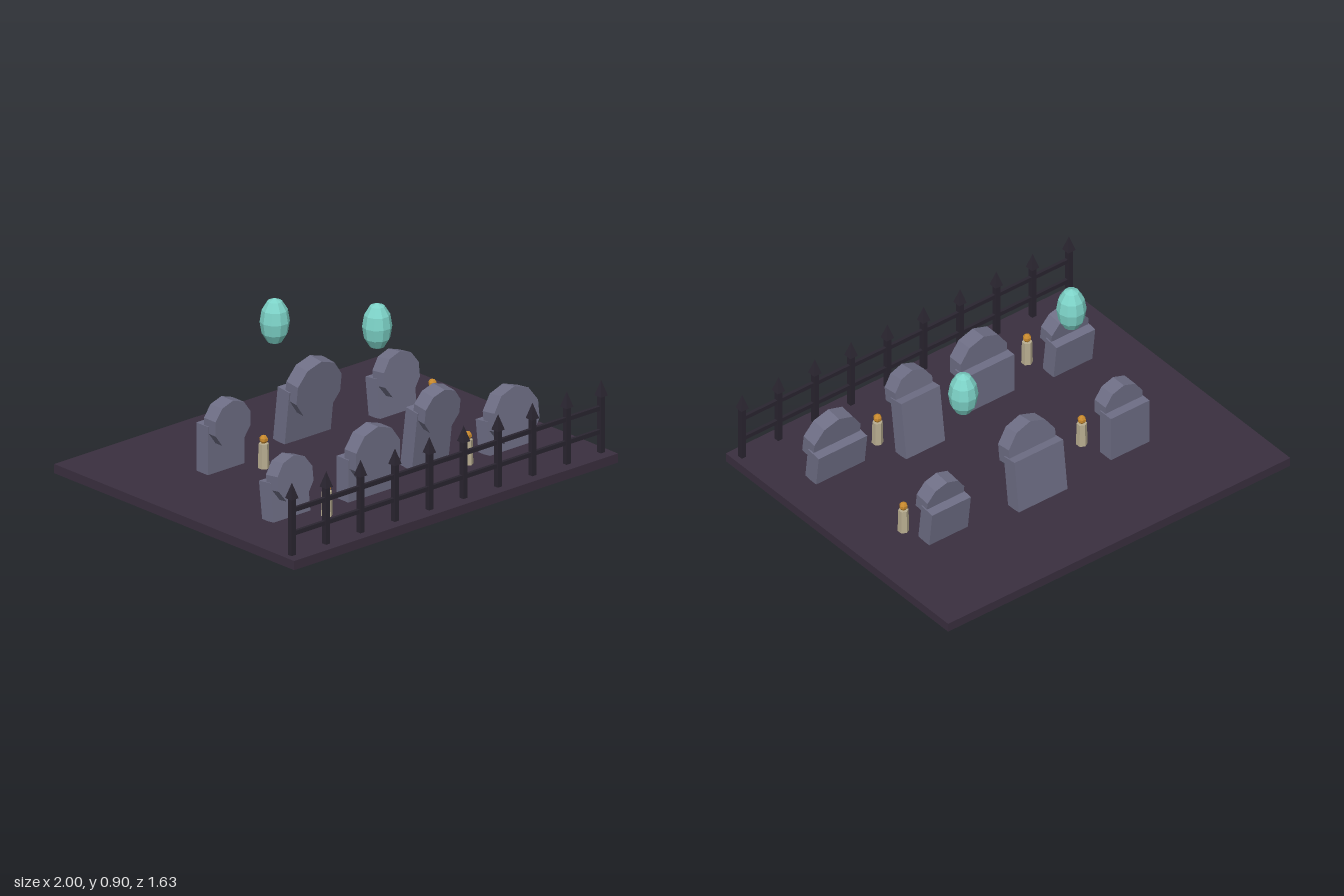
import * as THREE from 'three';

const mat = (name, color) => {
  const m = new THREE.MeshStandardMaterial({ color, flatShading: true });
  m.name = name;
  return m;
};

export function createModel() {
  const model = new THREE.Group();
  model.name = 'graveyard';
  const soil = mat('dark soil', 0x3a2f3f);
  const iron = mat('black iron', 0x2a2530);
  const stone = mat('grey stone', 0x6e6e85);
  const wax = mat('candle wax', 0xb8ad90);
  const flame = mat('amber flame', 0xc98a2e);
  const spirit = mat('pale teal spirit', 0x7dd3c8);

  const add = (parent, name, geometry, material, x, y, z) => {
    const mesh = new THREE.Mesh(geometry, material);
    mesh.name = name;
    mesh.position.set(x, y, z);
    parent.add(mesh);
    return mesh;
  };
  const group = (name, x, y, z) => {
    const g = new THREE.Group();
    g.name = name;
    g.position.set(x, y, z);
    model.add(g);
    return g;
  };

  // Ground slab
  const groundY = 0.045;
  add(model, 'ground', new THREE.BoxGeometry(2, groundY, 1.635), soil, 0, groundY / 2, 0);

  // Fence: ten spiked posts and two rails
  const fence = group('fence', 0, 0, 0.753);
  const postGeo = new THREE.BoxGeometry(0.026, 0.285, 0.026);
  const spikeGeo = new THREE.ConeGeometry(0.031, 0.076, 4).rotateY(Math.PI / 4);
  for (let i = 0; i < 10; i++) {
    const x = -0.955 + (i * 1.91) / 9;
    add(fence, 'fencePost', postGeo, iron, x, groundY + 0.1425, 0);
    add(fence, 'fenceSpike', spikeGeo, iron, x, 0.362, 0);
  }
  for (const y of [0.15, 0.265]) {
    add(fence, 'fenceRail', new THREE.BoxGeometry(1.91, 0.021, 0.016), iron, 0, y, 0);
  }

  // Gravestones: leaning slab with a ten-sided disc set forward at the top
  const gravestone = (x, z, width, total, lean) => {
    const g = group('gravestone', x, groundY, z);
    g.rotation.x = lean;
    const r = width / 2;
    const h = total - r;
    add(g, 'slab', new THREE.BoxGeometry(width, h, 0.08), stone, 0, h / 2, 0);
    const disc = new THREE.CylinderGeometry(r, r, 0.08, 10).rotateX(Math.PI / 2);
    add(g, 'roundTop', disc, stone, 0, h, 0.046);
  };
  [
    [-0.46, -0.28, 0.226, 0.35, 0],
    [0.088, -0.33, 0.284, 0.41, 0.12],
    [0.588, -0.262, 0.226, 0.303, -0.12],
    [-0.642, 0.37, 0.226, 0.301, -0.12],
    [-0.185, 0.405, 0.284, 0.35, 0],
    [0.272, 0.302, 0.226, 0.41, 0.13],
    [0.68, 0.417, 0.284, 0.305, -0.12],
  ].forEach((s) => gravestone(...s));

  // Candles
  const candleGeo = new THREE.CylinderGeometry(0.024, 0.027, 0.12, 6);
  const flameGeo = new THREE.SphereGeometry(0.021, 6, 5);
  for (const [x, z] of [[-0.505, 0.495], [0.405, 0.45], [0.723, -0.14], [-0.32, -0.14]]) {
    const g = group('candle', x, groundY, z);
    add(g, 'candleStick', candleGeo, wax, 0, 0.06, 0);
    add(g, 'candleFlame', flameGeo, flame, 0, 0.14, 0);
  }

  // Floating spirits
  const spiritGeo = new THREE.SphereGeometry(0.07, 10, 6).scale(1, 1.63, 1);
  add(model, 'spirit', spiritGeo, spirit, -0.315, 0.785, -0.07);
  add(model, 'spirit', spiritGeo, spirit, 0.315, 0.595, -0.067);

  return model;
}
